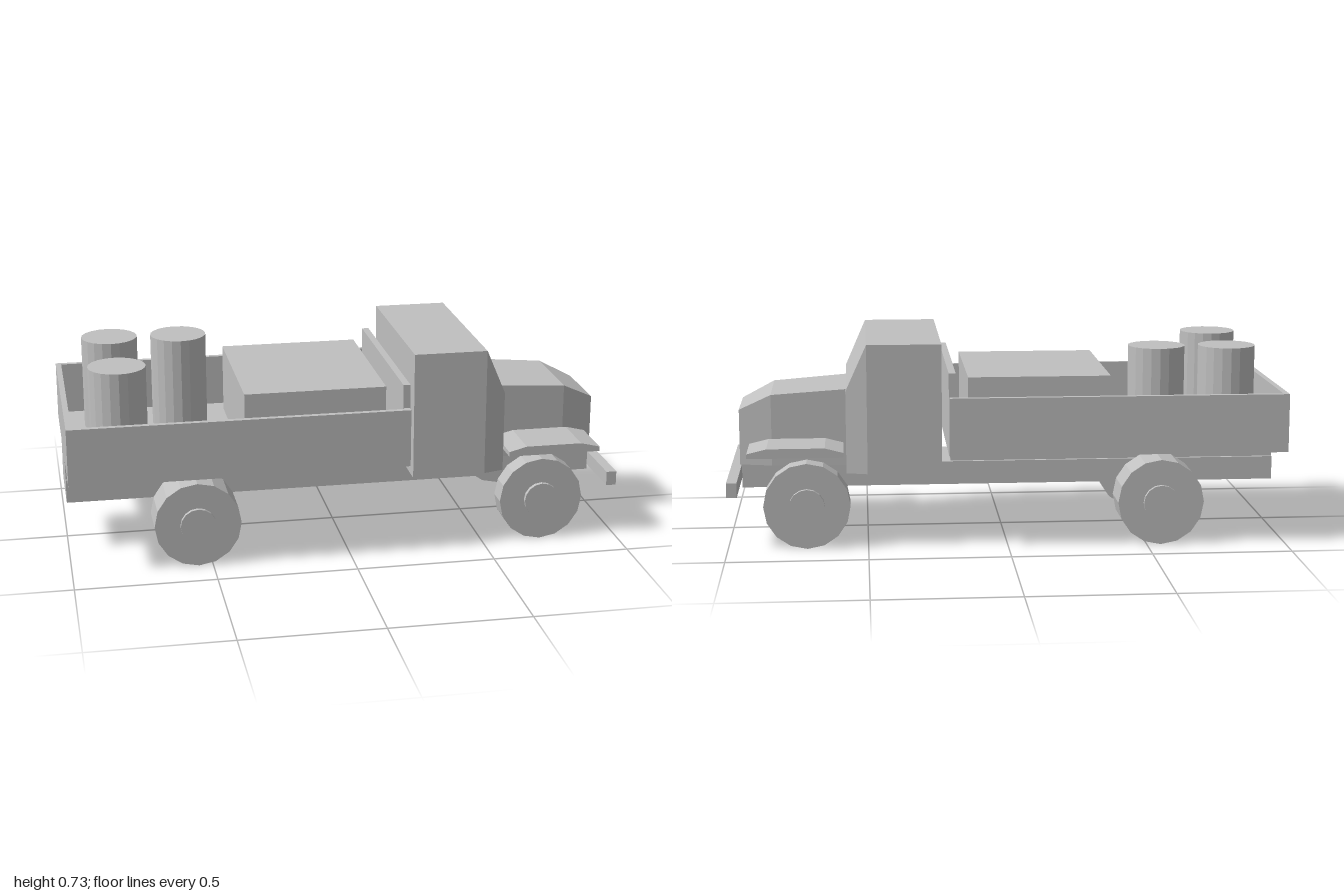
import * as THREE from 'three';

export function createModel() {
  const truck = new THREE.Group();
  truck.name = 'flatbedTruck';
  const grey = new THREE.MeshStandardMaterial({ color: 0xc0c0c0 });
  grey.name = 'plain grey';

  function add(name, geometry, x = 0, y = 0, z = 0) {
    const flat = geometry.index ? geometry.toNonIndexed() : geometry;
    flat.computeVertexNormals(); // faceted look
    const mesh = new THREE.Mesh(flat, grey);
    mesh.name = name;
    mesh.position.set(x, y, z);
    truck.add(mesh);
    return mesh;
  }

  // Box given by its limits on each axis
  function box(name, x0, x1, y0, y1, z0, z1) {
    add(name, new THREE.BoxGeometry(x1 - x0, y1 - y0, z1 - z0),
      (x0 + x1) / 2, (y0 + y1) / 2, (z0 + z1) / 2);
  }

  // Cylinder lying along z between z0 and z1
  function roller(name, r, sides, x, y, z0, z1) {
    const g = new THREE.CylinderGeometry(r, r, Math.abs(z1 - z0), sides).rotateX(Math.PI / 2);
    add(name, g, x, y, (z0 + z1) / 2);
  }

  // Solid through rectangular sections along x: [x, bottom, top, halfWidth]
  function loft(sections) {
    const rings = sections.map(([x, b, t, w]) =>
      [[x, b, -w], [x, t, -w], [x, t, w], [x, b, w]]);
    const pos = [];
    const quad = (a, b, c, d) => pos.push(...a, ...b, ...c, ...a, ...c, ...d);
    for (let s = 0; s < rings.length - 1; s++) {
      for (let i = 0; i < 4; i++) {
        const j = (i + 1) % 4;
        quad(rings[s][i], rings[s][j], rings[s + 1][j], rings[s + 1][i]);
      }
    }
    const first = rings[0], last = rings[rings.length - 1];
    quad(first[3], first[2], first[1], first[0]);
    quad(last[0], last[1], last[2], last[3]);
    const g = new THREE.BufferGeometry();
    g.setAttribute('position', new THREE.Float32BufferAttribute(pos, 3));
    return g;
  }

  // Chassis
  box('chassis', -1, 0.955, 0.185, 0.27, -0.137, 0.137);
  box('bedSupport', -1, 0.195, 0.27, 0.34, -0.125, 0.125);
  box('bumper', 0.963, 1, 0.195, 0.247, -0.345, 0.345);

  // Cargo bed
  box('bedFloor', -0.98, 0.19, 0.34, 0.36, -0.38, 0.38);
  box('tailgate', -1, -0.98, 0.34, 0.55, -0.4, 0.4);
  box('bedFrontWall', 0.19, 0.21, 0.34, 0.55, -0.4, 0.4);
  box('headboard', 0.187, 0.212, 0.34, 0.635, -0.372, 0.372);
  for (const s of [-1, 1]) {
    box('bedSideWall', -0.98, 0.19, 0.34, 0.55, s * 0.39 - 0.01, s * 0.39 + 0.01);
  }

  // Cargo
  box('crate', -0.37, 0.14, 0.36, 0.61, -0.31, 0.3);
  for (const [x, z] of [[-0.805, -0.205], [-0.55, -0.195], [-0.805, 0.175]]) {
    add('drum', new THREE.CylinderGeometry(0.103, 0.103, 0.342, 20), x, 0.531, z);
  }

  // Cab and hood
  add('cab', loft([[0.235, 0.27, 0.733, 0.335], [0.5, 0.27, 0.733, 0.335],
    [0.575, 0.27, 0.565, 0.312]]));
  add('hood', loft([[0.575, 0.27, 0.55, 0.173], [0.845, 0.27, 0.53, 0.161],
    [0.962, 0.27, 0.472, 0.131]]));

  // Fenders, wheels and hubs on both sides
  for (const s of [-1, 1]) {
    add('fender', loft([[0.585, 0.337, 0.354, 0.094], [0.65, 0.337, 0.371, 0.094],
      [0.855, 0.337, 0.371, 0.094], [0.925, 0.337, 0.354, 0.094]]), 0, 0, s * 0.266);
    roller('frontWheel', 0.155, 16, 0.717, 0.156, s * 0.258, s * 0.335);
    roller('frontHub', 0.064, 16, 0.717, 0.156, s * 0.335, s * 0.351);
    roller('rearWheel', 0.155, 16, -0.55, 0.156, s * 0.214, s * 0.365);
    roller('rearHub', 0.064, 16, -0.55, 0.156, s * 0.365, s * 0.38);
  }

  // Axles
  roller('frontAxle', 0.02, 8, 0.717, 0.156, -0.26, 0.26);
  roller('rearAxle', 0.02, 8, -0.55, 0.156, -0.22, 0.22);

  return truck;
}
